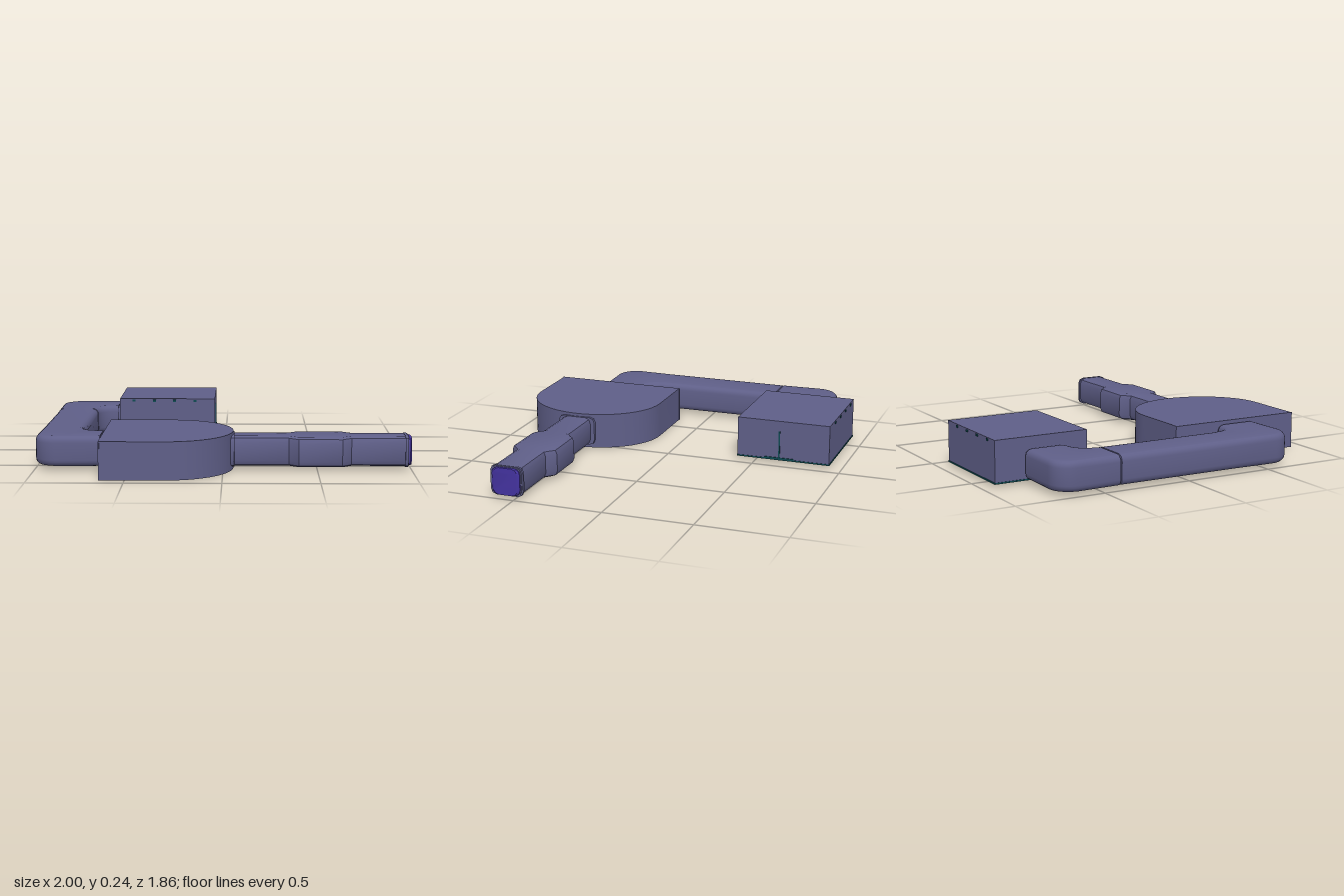
import * as THREE from 'three';
import { toCreasedNormals } from 'three/addons/utils/BufferGeometryUtils.js';

const wall = new THREE.MeshStandardMaterial({ color: 0x5f5f88 });
const teal = new THREE.MeshStandardMaterial({ color: 0x0f4a52 });
const purple = new THREE.MeshStandardMaterial({ color: 0x4433a0 });

// Loft rounded rectangles along stations { left: [x, z], right: [x, z], inset }.
function loft(stations, y0, y1, radius, segs = 3) {
  const rings = stations.map(({ left, right, inset = 0 }) => {
    const l = new THREE.Vector3(left[0], 0, left[1]);
    const r = new THREE.Vector3(right[0], 0, right[1]);
    const mid = l.clone().add(r).multiplyScalar(0.5);
    const dir = l.clone().sub(r).normalize();
    const hw = l.distanceTo(r) / 2 - inset - radius;
    const hh = (y1 - y0) / 2 - inset - radius;
    mid.y = (y0 + y1) / 2;
    const ring = [];
    [[1, 1], [-1, 1], [-1, -1], [1, -1]].forEach(([su, sv], q) => {
      for (let k = 0; k <= segs; k++) {
        const a = (q + k / segs) * Math.PI / 2;
        const p = mid.clone().addScaledVector(dir, su * hw + radius * Math.cos(a));
        p.y += sv * hh + radius * Math.sin(a);
        ring.push(p);
      }
    });
    return ring;
  });
  const tris = [];
  const n = rings[0].length;
  for (let i = 0; i + 1 < rings.length; i++) {
    for (let j = 0; j < n; j++) {
      const k = (j + 1) % n;
      const [a, b, c, d] = [rings[i][j], rings[i][k], rings[i + 1][j], rings[i + 1][k]];
      tris.push(a, b, c, b, d, c);
    }
  }
  const first = rings[0], last = rings[rings.length - 1];
  for (let j = 1; j + 1 < n; j++) {
    tris.push(first[0], first[j + 1], first[j], last[0], last[j], last[j + 1]);
  }
  return toCreasedNormals(new THREE.BufferGeometry().setFromPoints(tris), 0.6);
}

// Stations of a 90 degree elbow from a room door to the long corridor.
// s = 1 turns towards +z, s = -1 towards -z.
function elbow(zOut, s) {
  const pt = (x, d) => [x, zOut + s * d];
  const list = [{ left: pt(-0.65, 0.245), right: pt(-0.65, 0) }];
  for (let i = 0; i <= 8; i++) {
    const a = i / 8 * Math.PI / 2, sin = Math.sin(a), cos = Math.cos(a);
    list.push({
      left: pt(-0.65 - 0.11 * sin, 0.355 - 0.11 * cos),
      right: pt(-0.89 - 0.11 * sin, 0.11 - 0.11 * cos),
    });
  }
  list.push({ left: pt(-0.76, 0.356), right: pt(-1, 0.356) });
  return list;
}

// Straight run along +x from [x, half width] pairs.
const along = (pairs, zc) => pairs.map(([x, h]) => ({ left: [x, zc - h], right: [x, zc + h] }));

export function createModel() {
  const model = new THREE.Group();
  const add = (name, geometry, material = wall) => {
    const mesh = new THREE.Mesh(geometry, material);
    mesh.name = name;
    model.add(mesh);
    return mesh;
  };
  const box = (name, w, h, d, x, y, z, material) =>
    add(name, new THREE.BoxGeometry(w, h, d), material).position.set(x, y, z);

  // Room with a flat back and a curved front
  const plan = new THREE.Shape();
  plan.moveTo(-0.63, -0.925);
  plan.lineTo(-0.29, -0.925);
  plan.absellipse(-0.29, -0.542, 0.345, 0.383, -Math.PI / 2, Math.PI / 2, false, 0);
  plan.lineTo(-0.63, -0.159);
  plan.closePath();
  const room = new THREE.ExtrudeGeometry(plan, { depth: 0.2, bevelEnabled: false, curveSegments: 20 });
  room.rotateX(-Math.PI / 2);
  add('roundedRoom', toCreasedNormals(room, 0.5));
  box('roundedRoomBackWall', 0.006, 0.2, 0.774, -0.63, 0.1, 0.542);

  // Square room with a dark floor
  box('squareRoom', 0.566, 0.222, 0.532, -0.346, 0.133, -0.662);
  box('squareRoomFloor', 0.572, 0.008, 0.538, -0.346, 0.019, -0.662, teal);
  box('doorSeam', 0.006, 0.17, 0.008, -0.062, 0.1, -0.64, teal);
  box('doorSill', 0.008, 0.012, 0.17, -0.062, 0.024, -0.64, teal);
  for (const z of [-0.395, -0.929]) {
    for (let i = 0; i < 4; i++) {
      box('wallLamp', 0.018, 0.012, 0.006, -0.545 + i * 0.121, 0.232, z, teal);
    }
  }

  // U-shaped corridor joining the rooms, with a narrow seam behind the rear elbow
  const seam = [-0.408, -0.402].map((z) => ({ left: [-0.76, z], right: [-1, z], inset: 0.008 }));
  const straight = { left: [-0.762, -0.4], right: [-0.997, -0.4] };
  add('linkCorridor', loft(
    [...elbow(-0.765, 1), ...seam, straight, ...elbow(0.662, -1).reverse()], 0.022, 0.183, 0.035, 4));

  // Door collars between corridor and rooms
  for (const z of [-0.642, 0.54]) {
    add('doorCollar', loft(along([[-0.66, 0.112], [-0.62, 0.112]], z), 0.03, 0.175, 0.025));
  }

  // Entrance corridor with a wider middle bay
  add('entranceCorridor', loft(along([
    [0.03, 0.086], [0.35, 0.086], [0.4, 0.132], [0.63, 0.132], [0.68, 0.086], [0.985, 0.086],
  ], 0.543), 0.02, 0.18, 0.032, 2));
  add('entranceCollar', loft(along([[0.02, 0.11], [0.06, 0.11]], 0.543), 0.02, 0.183, 0.03, 2));
  add('endFlange', loft(along([[0.965, 0.094], [0.98, 0.094]], 0.543), 0.016, 0.182, 0.032, 2));

  // Coloured end door
  add('endDoor', loft(along([[0.97, 0.08], [0.992, 0.08], [1, 0.068]], 0.543), 0.024, 0.174, 0.032), purple);
  return model;
}
